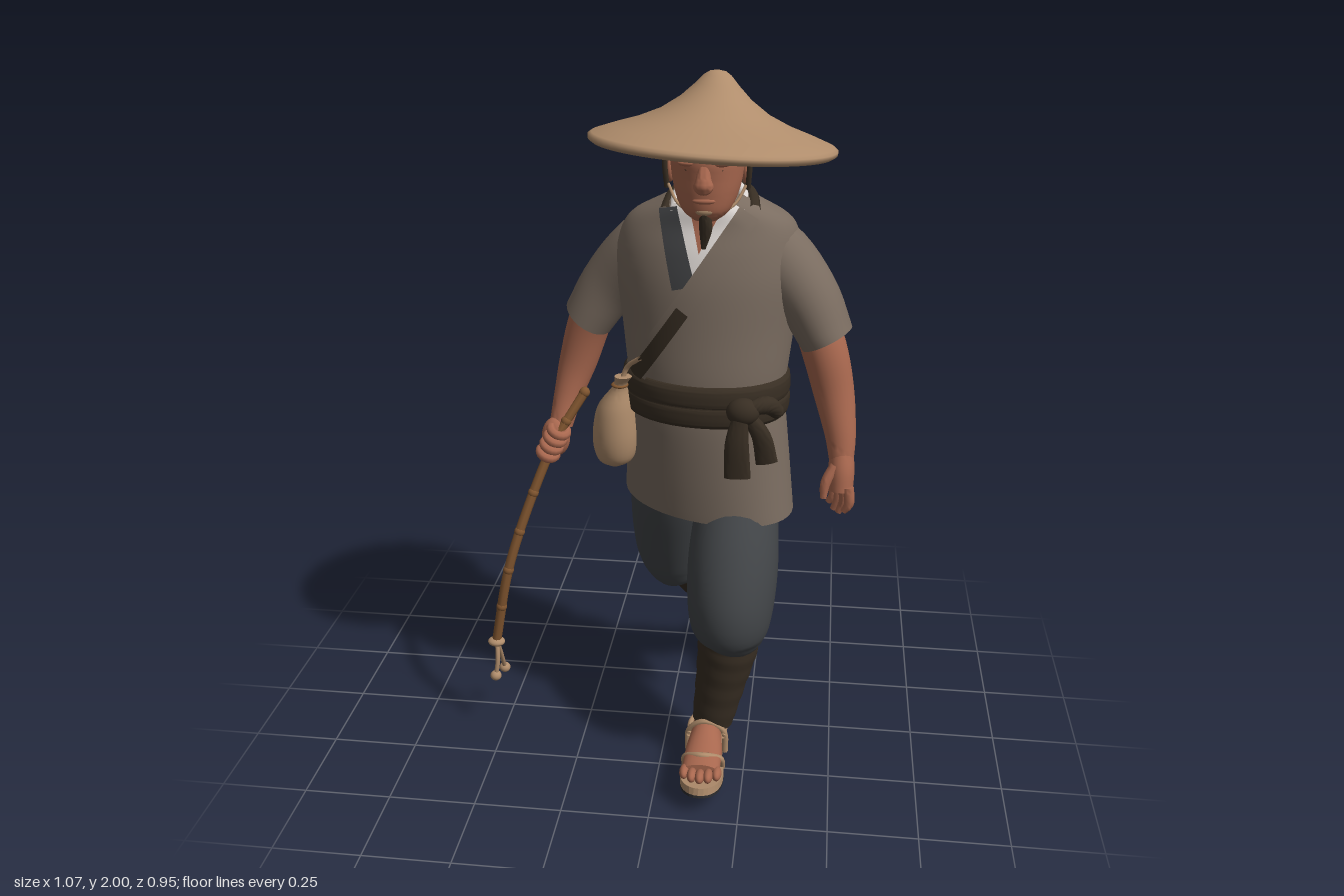
import * as THREE from 'three';
import { toCreasedNormals } from 'three/addons/utils/BufferGeometryUtils.js';

const V = (a) => new THREE.Vector3(a[0], a[1], a[2]);
const material = (name, color, side = THREE.FrontSide) => {
  const m = new THREE.MeshStandardMaterial({ color, side });
  m.name = name;
  return m;
};

// Smoothly interpolated rings [x, y, z, radiusU, radiusV]
function sampleRings(rings, per) {
  const centre = new THREE.CatmullRomCurve3(rings.map(V), false, 'catmullrom', 0.5);
  const radius = new THREE.CatmullRomCurve3(rings.map((r) => new THREE.Vector3(r[3], r[4] ?? r[3], 0)), false, 'catmullrom', 0.5);
  const n = (rings.length - 1) * per, out = [];
  for (let i = 0; i <= n; i++) {
    const r = radius.getPoint(i / n);
    out.push({ c: centre.getPoint(i / n), t: centre.getTangent(i / n), ru: r.x, rv: r.y });
  }
  return out;
}

const bend = (s, pow) => Math.sign(s) * Math.abs(s) ** (2 / pow);
const MID = 0.11, TURN = 0.08; // body axis and how far the left side leads

// Closed skin over rings; flat keeps rings horizontal, ripple makes wrapped layers, turn(y) brings the left side forward
function loft(rings, { flat = false, seg = 24, per = 5, pow = 2, ripple = 0, turn = () => 0 } = {}) {
  const s = sampleRings(rings, per), pos = [], index = [];
  const all = [{ ...s[0], ru: 0, rv: 0 }, ...s, { ...s[s.length - 1], ru: 0, rv: 0 }];
  all.forEach((ring, i) => {
    const t = flat ? new THREE.Vector3(0, Math.sign(ring.t.y), 0) : ring.t;
    const u = new THREE.Vector3(1, 0, 0).addScaledVector(t, -t.x).normalize();
    const v = t.clone().cross(u), k = 1 + ripple * ((i % 4) / 3 - 0.5);
    for (let j = 0; j < seg; j++) {
      const a = (j / seg) * Math.PI * 2;
      const p = ring.c.clone().addScaledVector(u, ring.ru * k * bend(Math.cos(a), pow))
        .addScaledVector(v, ring.rv * k * bend(Math.sin(a), pow));
      pos.push(p.x, p.y, p.z + turn(p.y) * (p.x - MID));
      if (i < all.length - 1) {
        const a0 = i * seg + j, a1 = i * seg + ((j + 1) % seg);
        if (i > 0) index.push(a0, a1, a0 + seg);
        if (i < all.length - 2) index.push(a1, a1 + seg, a0 + seg);
      }
    }
  });
  const g = new THREE.BufferGeometry();
  g.setAttribute('position', new THREE.Float32BufferAttribute(pos, 3));
  g.setIndex(index);
  return toCreasedNormals(g, 0.9);
}

const tube = (pts, r, seg = 32) => new THREE.TubeGeometry(new THREE.CatmullRomCurve3(pts.map(V)), seg, r, 8);

export function createModel() {
  const model = new THREE.Group();
  model.name = 'traveller';
  const straw = material('straw', 0xb08d6c, THREE.DoubleSide), cloth = material('taupe cloth', 0x7a6c60, THREE.DoubleSide);
  const denim = material('slate cloth', 0x424548), dark = material('dark brown cloth', 0x382e23, THREE.DoubleSide);
  const skin = material('skin', 0xa9684f, THREE.DoubleSide), wood = material('wood', 0x80552f);
  const white = material('white linen', 0xded8d4, THREE.DoubleSide), hairMat = material('grey hair', 0x404143, THREE.DoubleSide);
  const black = material('dark sole', 0x2b2b2d);

  const add = (name, geo, mat, parent = model) => {
    const m = new THREE.Mesh(geo, mat);
    m.name = name;
    parent.add(m);
    return m;
  };
  const ball = (name, mat, p, r, parent = model) => {
    const m = add(name, new THREE.SphereGeometry(1, 20, 14), mat, parent);
    m.position.set(...p);
    m.scale.set(...r);
  };

  // Tunic body, skirt and belt
  const turn = () => TURN;
  const torso = [[0.11, 1.1, 0.04, 0.212, 0.182], [0.11, 1.2, 0.043, 0.224, 0.187], [0.11, 1.32, 0.033, 0.238, 0.192],
    [0.11, 1.45, 0.026, 0.254, 0.191], [0.11, 1.54, 0.02, 0.25, 0.18], [0.115, 1.61, 0.025, 0.22, 0.153],
    [0.118, 1.66, 0.05, 0.142, 0.122], [0.12, 1.685, 0.06, 0.095, 0.09]];
  add('tunic', loft(torso, { flat: true, seg: 40, turn }), cloth);
  add('tunicSkirt', loft([[0.11, 1.14, 0.04, 0.215, 0.182], [0.11, 1.06, 0.035, 0.225, 0.191], [0.112, 0.92, 0.02, 0.238, 0.2],
    [0.115, 0.785, 0.008, 0.249, 0.205]], { flat: true, seg: 40, pow: 2.1, turn: (y) => TURN + (1.14 - y) * 0.55 }), cloth);
  const belt = [[1.078, 0.226], [1.09, 0.233], [1.125, 0.235], [1.135, 0.231], [1.145, 0.235], [1.18, 0.234], [1.193, 0.226]];
  add('belt', loft(belt.map(([y, r]) => [0.108, y, 0.042, r, r - 0.031]), { flat: true, seg: 40, pow: 2.1, turn }), dark);
  ball('beltKnot', dark, [0.225, 1.135, 0.245], [0.045, 0.038, 0.035]);
  add('beltTail', loft([[0.22, 1.13, 0.262, 0.02, 0.012], [0.212, 1.05, 0.266, 0.032, 0.014], [0.215, 0.95, 0.262, 0.036, 0.01]]), dark);
  add('beltTail', loft([[0.235, 1.13, 0.25, 0.018, 0.012], [0.275, 1.07, 0.248, 0.026, 0.014], [0.292, 0.99, 0.242, 0.03, 0.01]]), dark);
  add('beltLoop', loft([[0.23, 1.14, 0.25, 0.015, 0.02], [0.285, 1.15, 0.225, 0.025, 0.025], [0.315, 1.12, 0.195, 0.02, 0.02]]), dark);

  // Bands laid over the chest: points [x, y, half width] from top to bottom
  const dense = sampleRings(torso, 5);
  const chestZ = (x, y) => {
    let i = 0;
    while (i < dense.length - 2 && dense[i + 1].c.y < y) i++;
    const a = dense[i], b = dense[i + 1], k = THREE.MathUtils.clamp((y - a.c.y) / (b.c.y - a.c.y), 0, 1);
    const mix = THREE.MathUtils.lerp, dx = (x - mix(a.c.x, b.c.x, k)) / mix(a.ru, b.ru, k);
    return mix(a.c.z, b.c.z, k) + mix(a.rv, b.rv, k) * Math.sqrt(Math.max(0, 1 - dx * dx)) + TURN * (x - MID);
  };
  const band = (name, from, to, lift, mat) => {
    const g = new THREE.PlaneGeometry(1, 1, 6, 28), p = g.attributes.position;
    const up = new THREE.Vector2(from[0] - to[0], from[1] - to[1]).normalize();
    for (let i = 0; i < p.count; i++) {
      const k = 0.5 - p.getY(i), w = 2 * p.getX(i) * THREE.MathUtils.lerp(from[2], to[2], k);
      const x = THREE.MathUtils.lerp(from[0], to[0], k) + up.y * w, y = THREE.MathUtils.lerp(from[1], to[1], k) - up.x * w;
      p.setXYZ(i, x, y, chestZ(x, y) + lift);
    }
    g.computeVertexNormals();
    add(name, g, mat);
  };
  band('chestSkin', [0.115, 1.67, 0.06], [0.095, 1.52, 0.008], 0.005, skin);
  band('innerCollar', [0.045, 1.67, 0.024], [0.095, 1.49, 0.018], 0.008, white);
  band('innerCollar', [0.19, 1.67, 0.026], [0.085, 1.47, 0.022], 0.01, white);
  band('rightLapel', [0.012, 1.655, 0.026], [0.062, 1.46, 0.032], 0.012, hairMat);
  band('leftLapel', [0.225, 1.65, 0.03], [-0.085, 1.19, 0.032], 0.015, cloth);
  band('lapelEdge', [0.06, 1.4, 0.019], [-0.08, 1.19, 0.019], 0.019, dark);
  add('collarBack', tube([[0.005, 1.64, 0.13], [0.02, 1.675, 0.06], [0.065, 1.69, 0], [0.115, 1.693, -0.015],
    [0.17, 1.69, 0], [0.22, 1.68, 0.06], [0.235, 1.65, 0.13]], 0.018), dark);
  add('innerCollarBack', tube([[0.03, 1.64, 0.15], [0.037, 1.69, 0.07], [0.115, 1.71, 0.01], [0.198, 1.69, 0.07], [0.205, 1.64, 0.15]], 0.014), white);

  // Head, hair and beard
  add('neck', loft([[0.115, 1.58, 0.07, 0.07], [0.115, 1.65, 0.09, 0.064], [0.115, 1.74, 0.12, 0.066]]), skin);
  add('head', loft([[0.115, 1.637, 0.19, 0.03, 0.025], [0.115, 1.66, 0.178, 0.06, 0.06], [0.115, 1.7, 0.16, 0.08, 0.087],
    [0.115, 1.75, 0.145, 0.092, 0.108], [0.115, 1.8, 0.138, 0.095, 0.12], [0.115, 1.86, 0.135, 0.082, 0.1], [0.115, 1.89, 0.13, 0.04, 0.05]],
  { flat: true, seg: 32 }), skin);
  add('hair', loft([[0.115, 1.725, 0.1, 0.07, 0.07], [0.115, 1.76, 0.095, 0.094, 0.086], [0.115, 1.82, 0.105, 0.1, 0.096],
    [0.115, 1.87, 0.12, 0.08, 0.085]], { flat: true }), hairMat);
  add('nose', loft([[0.115, 1.79, 0.24, 0.015, 0.014], [0.115, 1.755, 0.254, 0.019, 0.018], [0.115, 1.735, 0.256, 0.026, 0.022],
    [0.115, 1.722, 0.245, 0.018, 0.014]]), skin);
  ball('mouth', skin, [0.115, 1.695, 0.238], [0.03, 0.009, 0.012]);
  ball('chinTuft', straw, [0.115, 1.668, 0.23], [0.026, 0.013, 0.012]);
  add('goatee', loft([[0.115, 1.662, 0.222, 0.014, 0.016], [0.118, 1.62, 0.215, 0.017, 0.014], [0.112, 1.565, 0.207, 0.006, 0.006]]), dark);
  for (const s of [-1, 1]) {
    const x = 0.115 + s * 0.037;
    ball('brow', skin, [x, 1.79, 0.24], [0.03, 0.009, 0.014]);
    ball('eye', dark, [x, 1.773, 0.239], [0.012, 0.0035, 0.005]);
    ball('ear', skin, [0.115 + s * 0.098, 1.755, 0.13], [0.014, 0.036, 0.022]);
    add('hatCord', tube([[0.115 + s * 0.11, 1.83, 0.16], [0.115 + s * 0.108, 1.76, 0.16], [0.115 + s * 0.104, 1.71, 0.15]], 0.007, 10), dark);
    add('chinCord', tube([[0.115 + s * 0.1, 1.72, 0.155], [0.115 + s * 0.072, 1.675, 0.18], [0.115, 1.643, 0.215]], 0.004, 12), straw);
  }

  // Wide hollow conical hat, slightly tilted
  const hat = new THREE.Group();
  hat.name = 'hat';
  hat.position.set(0.125, 1.82, 0.12);
  hat.rotation.set(-0.06, 0, -0.06);
  model.add(hat);
  const outer = [[0.32, 0.004], [0.311, 0.011], [0.26, 0.03], [0.2, 0.05], [0.14, 0.077], [0.09, 0.112], [0.055, 0.146],
    [0.035, 0.168], [0.02, 0.178], [0.001, 0.181]];
  const inner = outer.slice(2).reverse().map(([r, y]) => [r, y - 0.014]);
  const profile = [...inner, [0.296, -0.008], [0.309, -0.013], [0.319, -0.006], ...outer];
  add('hatCone', new THREE.LatheGeometry(profile.map((p) => new THREE.Vector2(...p)), 64), straw, hat);

  // Sleeves and arms
  const sleeve = { seg: 28 };
  add('leftSleeve', loft([[0.19, 1.55, 0.03, 0.08, 0.09], [0.28, 1.518, 0.045, 0.096, 0.1], [0.375, 1.415, 0.075, 0.088, 0.098],
    [0.438, 1.298, 0.088, 0.074, 0.1]], sleeve), cloth);
  add('rightSleeve', loft([[0.03, 1.55, 0, 0.08, 0.09], [-0.06, 1.51, -0.03, 0.094, 0.102], [-0.165, 1.4, -0.07, 0.086, 0.1],
    [-0.242, 1.283, -0.082, 0.074, 0.099]], sleeve), cloth);
  add('leftArm', loft([[0.38, 1.4, 0.065, 0.06], [0.43, 1.27, 0.085, 0.062], [0.462, 1.15, 0.095, 0.056], [0.485, 1.04, 0.125, 0.043],
    [0.492, 0.97, 0.145, 0.034]]), skin);
  add('rightArm', loft([[-0.18, 1.4, -0.06, 0.06], [-0.24, 1.27, -0.09, 0.062], [-0.277, 1.15, -0.092, 0.056], [-0.305, 1.05, -0.068, 0.043],
    [-0.325, 0.96, -0.035, 0.034]]), skin);

  // Hands: the left hangs open, the right grips the staff
  add('leftPalm', loft([[0.492, 0.99, 0.14, 0.032, 0.034], [0.493, 0.94, 0.152, 0.036, 0.042], [0.493, 0.885, 0.162, 0.034, 0.04]]), skin);
  for (let i = 0; i < 4; i++) {
    const x = 0.514 - i * 0.014, z = 0.188 - i * 0.019, d = 0.012 * Math.abs(i - 1.5);
    add('leftFinger', loft([[x, 0.905, z, 0.015], [x + 0.004, 0.86, z + 0.004, 0.014], [x - 0.01, 0.815 + d, z + 0.002, 0.009]], { seg: 10 }), skin);
  }
  add('leftThumb', loft([[0.475, 0.96, 0.17, 0.015], [0.452, 0.915, 0.185, 0.014], [0.447, 0.87, 0.19, 0.009]], { seg: 10 }), skin);
  ball('rightPalm', skin, [-0.338, 0.928, -0.018], [0.042, 0.06, 0.036]);
  for (let i = 0; i < 4; i++) {
    const f = add('rightFinger', new THREE.TorusGeometry(0.024, 0.014, 8, 18), skin);
    f.position.set(-0.325 - i * 0.01, 0.955 - i * 0.021, 0.0 + i * 0.007);
    f.rotation.set(Math.PI / 2 + 0.3, -0.4, 0);
  }

  // Curved staff with knots and tassels
  const staffPath = [[-0.255, 1.06, -0.045], [-0.333, 0.93, 0.008], [-0.405, 0.75, 0.065], [-0.468, 0.545, 0.11], [-0.515, 0.3, 0.115]];
  add('staff', tube(staffPath, 0.014, 48), wood);
  const staffCurve = new THREE.CatmullRomCurve3(staffPath.map(V));
  for (const t of [0, 0.12, 0.4, 0.55, 0.7, 0.85, 1]) ball('staffKnot', wood, staffCurve.getPointAt(t).toArray(), [0.016, 0.016, 0.016]);
  ball('staffBinding', straw, [-0.515, 0.3, 0.115], [0.026, 0.014, 0.022]);
  for (const end of [[-0.512, 0.165, 0.045], [-0.52, 0.185, 0.125]]) {
    add('tasselCord', tube([[-0.515, 0.3, 0.11], [-0.512, 0.24, (0.11 + end[2]) / 2 + 0.005], end], 0.007, 12), straw);
    ball('tasselEnd', straw, end, [0.017, 0.016, 0.016]);
  }

  // Pouch at the right hip
  add('pouch', loft([[-0.11, 1.185, 0.145, 0.024, 0.024], [-0.122, 1.15, 0.13, 0.02, 0.022], [-0.138, 1.08, 0.11, 0.052, 0.058],
    [-0.142, 0.99, 0.098, 0.064, 0.07], [-0.143, 0.925, 0.095, 0.052, 0.055], [-0.145, 0.9, 0.095, 0.02, 0.02]], { flat: true }), straw);
  add('pouchCord', tube([[-0.12, 1.15, 0.145], [-0.1, 1.21, 0.145], [-0.06, 1.25, 0.18]], 0.007, 12), straw);
  ball('pouchTie', wood, [-0.122, 1.155, 0.132], [0.024, 0.008, 0.026]);

  // Baggy trousers and wrapped shins
  add('trouserSeat', loft([[0.105, 0.95, 0.02, 0.18, 0.14], [0.105, 0.85, 0.015, 0.19, 0.15], [0.105, 0.775, 0.015, 0.17, 0.13]],
    { flat: true, turn: () => 0.28 }), denim);
  add('leftTrouser', loft([[0.2, 0.93, 0.03, 0.1, 0.11], [0.205, 0.82, 0.07, 0.113, 0.127], [0.202, 0.66, 0.162, 0.128, 0.143],
    [0.2, 0.53, 0.208, 0.122, 0.147], [0.2, 0.455, 0.205, 0.105, 0.12], [0.195, 0.425, 0.2, 0.075, 0.08]], { seg: 32 }), denim);
  add('rightTrouser', loft([[0.02, 0.93, 0.0, 0.11, 0.12], [0.005, 0.8, -0.045, 0.122, 0.138], [-0.003, 0.64, -0.112, 0.122, 0.137],
    [0.0, 0.53, -0.17, 0.117, 0.142], [0.025, 0.462, -0.193, 0.105, 0.124], [0.04, 0.435, -0.2, 0.075, 0.085]], { seg: 32 }), denim);
  const wrap = { per: 8, ripple: 0.035 };
  add('leftShinWrap', loft([[0.197, 0.48, 0.195, 0.08, 0.085], [0.195, 0.4, 0.19, 0.088, 0.094], [0.175, 0.27, 0.19, 0.074, 0.075],
    [0.152, 0.13, 0.188, 0.06, 0.058]], wrap), dark);
  add('rightShinWrap', loft([[0.035, 0.48, -0.175, 0.078, 0.085], [0.065, 0.41, -0.23, 0.084, 0.09], [0.12, 0.3, -0.3, 0.068, 0.076],
    [0.165, 0.215, -0.348, 0.052, 0.06]], wrap), dark);

  // Feet in straw sandals, toes along local +z
  const sole = new THREE.Shape();
  sole.moveTo(0, -0.1);
  sole.bezierCurveTo(0.065, -0.1, 0.04, -0.02, 0.05, 0.06);
  sole.bezierCurveTo(0.075, 0.16, 0.06, 0.25, 0, 0.252);
  sole.bezierCurveTo(-0.06, 0.25, -0.075, 0.16, -0.05, 0.06);
  sole.bezierCurveTo(-0.04, -0.02, -0.065, -0.1, 0, -0.1);
  const slab = (depth, y) => new THREE.ExtrudeGeometry(sole, { depth, bevelEnabled: false, curveSegments: 12 })
    .rotateX(Math.PI / 2).translate(0, y, 0);
  const foot = (name, pos, pitch, yaw, scale) => {
    const f = new THREE.Group();
    f.name = name;
    f.position.set(...pos);
    f.rotation.set(pitch, yaw, 0, 'YXZ');
    f.scale.setScalar(scale);
    model.add(f);
    add('sandalSole', slab(0.008, -0.006), black, f);
    add('sandalBed', slab(0.022, 0.016), straw, f);
    add('foot', loft([[0, 0.05, -0.106, 0.026, 0.026], [0, 0.058, -0.085, 0.044, 0.044], [0, 0.064, -0.04, 0.046, 0.052],
      [0, 0.066, 0.02, 0.045, 0.054], [0, 0.054, 0.1, 0.053, 0.04], [0, 0.04, 0.2, 0.053, 0.024]]), skin, f);
    add('ankle', loft([[0, 0.05, -0.035, 0.042, 0.05], [0, 0.1, -0.035, 0.042, 0.046], [0, 0.15, -0.03, 0.043, 0.046]]), skin, f);
    for (let i = 0; i < 5; i++) ball('toe', skin, [(i - 2) * 0.023, 0.038, 0.222 - 0.006 * (i - 2) ** 2], [0.014, 0.018, 0.03], f);
    for (const [z, h, zTop] of [[0.0, 0.119, 0.04], [0.1, 0.074, 0.165]]) {
      add('sandalStrap', tube([[-0.055, 0.01, z], [-0.05, h * 0.7, (z + zTop) / 2], [0, h, zTop],
        [0.05, h * 0.7, (z + zTop) / 2], [0.055, 0.01, z]], 0.009, 20), straw, f);
    }
    add('heelStrap', tube([[-0.05, 0.07, 0.03], [-0.047, 0.085, -0.05], [0, 0.095, -0.1], [0.047, 0.085, -0.05], [0.05, 0.07, 0.03]], 0.008, 24), straw, f);
    ball('heelKnot', straw, [0, 0.105, -0.102], [0.016, 0.014, 0.012], f);
  };
  foot('leftFoot', [0.138, 0.031, 0.225], -0.16, 0, 1);
  foot('rightFoot', [0.185, 0.142, -0.395], 0.65, -0.17, 0.88);
  return model;
}
